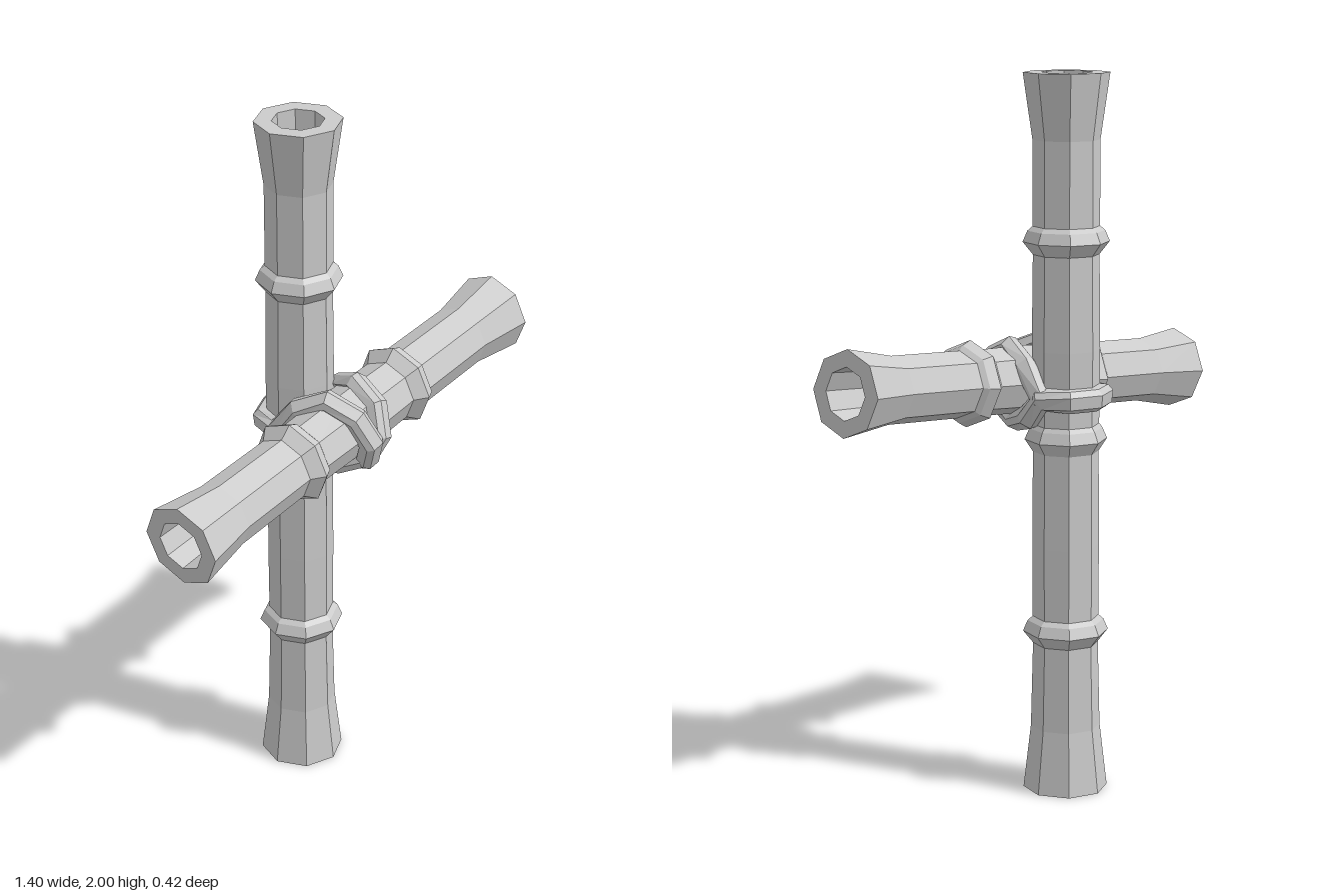
import * as THREE from 'three';

const material = new THREE.MeshStandardMaterial({ color: 0xcccccc, flatShading: true });

// Eight-sided hollow-ended pole; outer is a list of [radius, height].
function pole(name, outer, bore, depth) {
  const y0 = outer[0][1], y1 = outer[outer.length - 1][1];
  const profile = [
    [0, y0 + depth], [bore * 0.9, y0 + depth], [bore, y0],
    ...outer,
    [bore, y1], [bore * 0.9, y1 - depth], [0, y1 - depth],
  ].map(([r, y]) => new THREE.Vector2(r, y));
  const mesh = new THREE.Mesh(new THREE.LatheGeometry(profile, 8), material);
  mesh.name = name;
  return mesh;
}

// Raised joint: dir = 1 has its sharp lip at the low end, -1 at the high end.
function joint(y, dir = 1, r = 0.119) {
  const pts = [[0.091, y - 0.035 * dir], [r, y], [r - 0.013, y + 0.03 * dir], [0.092, y + 0.042 * dir]];
  return dir > 0 ? pts : pts.reverse();
}

// Closed strap with a chamfered flat section, its face turned away from centre.
function strap(name, points, centre, width, thick) {
  const w = width / 2, h = thick / 2;
  const section = [[w, -h], [w, h * 0.3], [w * 0.55, h], [-w * 0.55, h], [-w, h * 0.3], [-w, -h]];
  const n = points.length, m = section.length;
  const pos = [], index = [];
  points.forEach((p, i) => {
    const t = points[(i + 1) % n].clone().sub(points[(i + n - 1) % n]).normalize();
    const out = p.clone().sub(centre);
    out.addScaledVector(t, -out.dot(t)).normalize();
    const side = t.clone().cross(out);
    section.forEach(([s, o], j) => {
      pos.push(...p.clone().addScaledVector(side, s).addScaledVector(out, o).toArray());
      const i2 = (i + 1) % n, j2 = (j + 1) % m;
      const a = i * m + j, b = i2 * m + j, c = i2 * m + j2, d = i * m + j2;
      index.push(a, b, c, a, c, d);
    });
  });
  const geo = new THREE.BufferGeometry();
  geo.setAttribute('position', new THREE.Float32BufferAttribute(pos, 3));
  geo.setIndex(index);
  geo.computeVertexNormals();
  const mesh = new THREE.Mesh(geo, material);
  mesh.name = name;
  return mesh;
}

export function createModel() {
  const group = new THREE.Group();
  group.name = 'lashedBambooCross';

  // Upright pole with three joints
  const upright = pole('uprightPole', [
    [0.118, 0], [0.097, 0.18],
    ...joint(0.455), [0.093, 0.7],
    ...joint(1.0, 1, 0.114), [0.094, 1.25],
    ...joint(1.545), [0.092, 1.82], [0.118, 2],
  ], 0.07, 0.3);
  upright.position.set(-0.02, 0, -0.09);
  group.add(upright);

  // Slightly tilted cross pole in front, with two joints
  const cross = pole('crossPole', [
    [0.116, -0.695], [0.092, -0.53],
    ...joint(-0.24), [0.095, 0],
    ...joint(0.22), [0.091, 0.53], [0.116, 0.695],
  ], 0.07, 0.3);
  cross.position.set(-0.005, 1.15, 0.06);
  cross.rotation.z = -Math.PI / 2 + 0.08;
  group.add(cross);

  // Two mirrored straps crossing over the front and joining behind the upright
  const path = [
    [0, 1.12, -0.195], [0.075, 1.12, -0.165], [0.105, 1.12, -0.09], [0.098, 1.21, -0.02],
    [0.07, 1.25, 0.06], [0.05, 1.215, 0.145], [0.025, 1.14, 0.18], [0, 1.07, 0.15],
    [-0.025, 1.032, 0.07], [-0.09, 1.06, -0.03], [-0.105, 1.12, -0.09], [-0.075, 1.12, -0.165],
  ];
  const centre = new THREE.Vector3(-0.02, 1.14, 0);
  for (const s of [-1, 1]) {
    const inset = s > 0 ? 0.96 : 1; // one strap lies just beneath the other
    let pts = path.map(([x, y, z]) =>
      new THREE.Vector3(-0.02 + s * x * inset, y, z * inset));
    group.add(strap(s < 0 ? 'rightStrap' : 'leftStrap', pts, centre, 0.062 * inset, 0.045));
  }
  return group;
}
